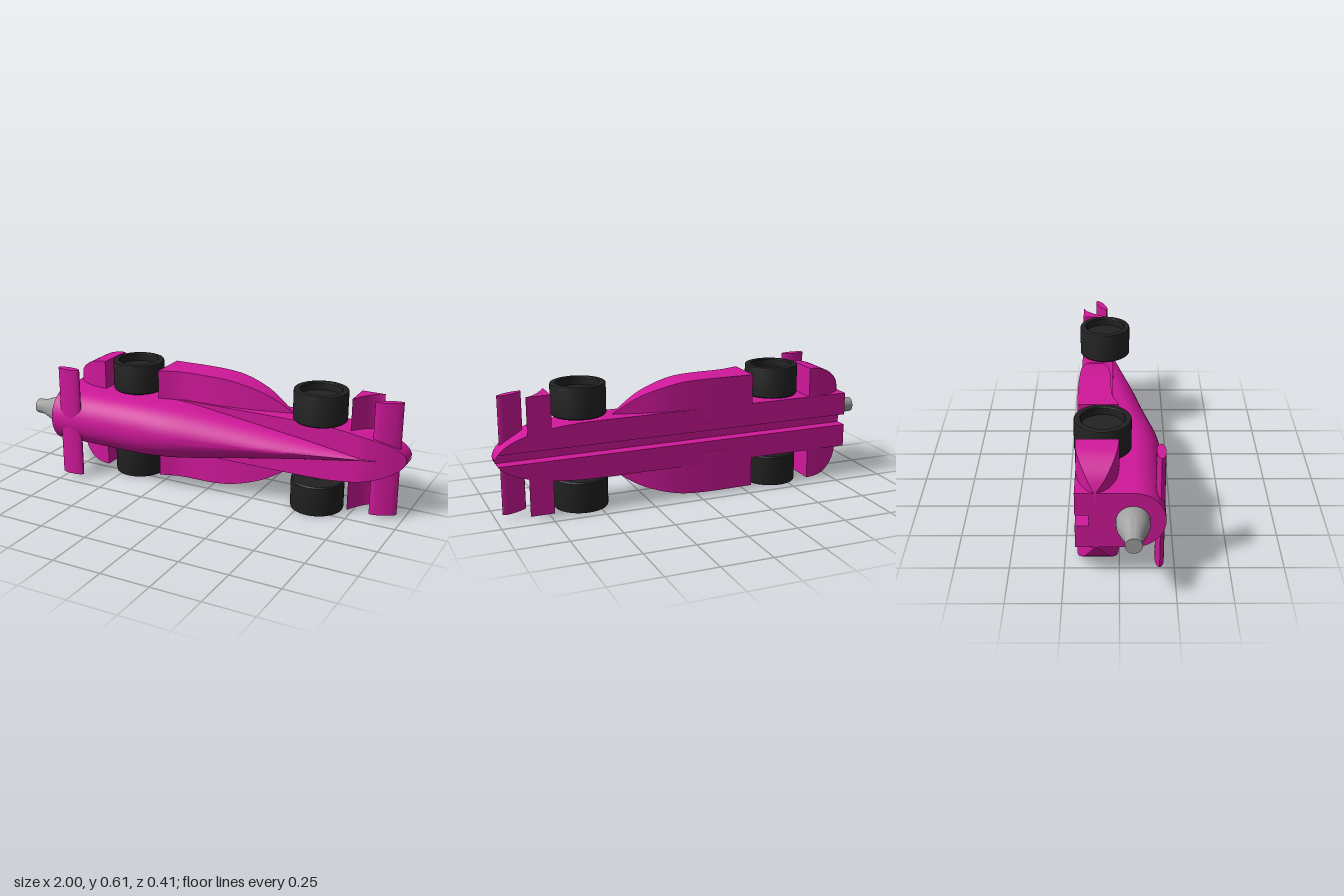
import * as THREE from 'three';
import { toCreasedNormals } from 'three/addons/utils/BufferGeometryUtils.js';

const PINK = new THREE.MeshStandardMaterial({ color: 0xd0189a });
const BLACK = new THREE.MeshStandardMaterial({ color: 0x222222 });
const GREY = new THREE.MeshStandardMaterial({ color: 0xa0a0a0 });
const V = (x, y, z) => new THREE.Vector3(x, y, z);

// Smooth monotone-ish interpolation through [x, value] pairs
function curve(points, x) {
  if (x <= points[0][0]) return points[0][1];
  const n = points.length - 1;
  if (x >= points[n][0]) return points[n][1];
  const slope = (i) => {
    const a = points[Math.max(0, i - 1)], b = points[Math.min(n, i + 1)];
    return (b[1] - a[1]) / (b[0] - a[0]);
  };
  let i = 0;
  while (x > points[i + 1][0]) i++;
  const [x0, v0] = points[i], [x1, v1] = points[i + 1];
  const d = x1 - x0, t = (x - x0) / d;
  return THREE.MathUtils.lerp(v0, v1, t * t * (3 - 2 * t))
    + d * (slope(i) * t * (1 - t) ** 2 - slope(i + 1) * t * t * (1 - t));
}

// Closed solid through rings of equal length; flatCap gives the 2D axes of the caps
function loft(rings, flatCap, crease = 0.5) {
  const m = rings[0].length, pos = [], idx = [];
  rings.forEach((r) => r.forEach((p) => pos.push(p.x, p.y, p.z)));
  for (let i = 0; i < rings.length - 1; i++) {
    for (let j = 0; j < m; j++) {
      const a = i * m + j, b = i * m + (j + 1) % m;
      idx.push(a, b, a + m, b, b + m, a + m);
    }
  }
  // the caps take their winding from the ring direction
  const flat = rings[0].map((p) => new THREE.Vector2(p[flatCap[0]], p[flatCap[1]]));
  const flip = THREE.ShapeUtils.isClockWise(flat);
  const last = (rings.length - 1) * m;
  // reverse the ring for a consistent triangulation when it is clockwise
  const map = flat.map((_, k) => (flip ? m - 1 - k : k));
  for (const t of THREE.ShapeUtils.triangulateShape(map.map((k) => flat[k]), [])) {
    const [a, b, c] = flip ? [map[t[2]], map[t[1]], map[t[0]]] : t.map((k) => map[k]);
    idx.push(c, b, a, last + a, last + b, last + c);
  }
  // turn the solid outside out if its volume is negative
  let volume = 0;
  const at = (k) => V(pos[3 * k], pos[3 * k + 1], pos[3 * k + 2]);
  for (let i = 0; i < idx.length; i += 3) volume += at(idx[i]).dot(at(idx[i + 1]).cross(at(idx[i + 2])));
  if (volume < 0) idx.reverse();
  const g = new THREE.BufferGeometry();
  g.setAttribute('position', new THREE.Float32BufferAttribute(pos, 3));
  g.setIndex(idx);
  return toCreasedNormals(g, crease);
}

const steps = (a, b, n) => Array.from({ length: n + 1 }, (_, i) => a + (b - a) * i / n);

export function createModel() {
  const model = new THREE.Group();
  const car = new THREE.Group();
  car.name = 'car';
  car.position.y = 0.306;
  model.add(car);
  const add = (name, geometry, material) => {
    const mesh = new THREE.Mesh(geometry, material);
    mesh.name = name;
    car.add(mesh);
    return mesh;
  };

  // Chassis: low slab with an elliptical nose and a groove along the underside
  const deck = [[0.8, -0.03], [0.86, -0.047], [0.93, -0.075], [1, -0.11]];
  const noseStart = 0.5;
  const chassisX = [-0.815, ...steps(0, Math.PI / 2, 24).map((a) => noseStart + (1 - noseStart) * Math.sin(a))];
  add('chassis', loft(chassisX.map((x) => {
    const u = Math.max(0, (x - noseStart) / (1 - noseStart));
    const w = Math.max(0.004, 0.141 * Math.sqrt(Math.max(0, 1 - u ** 2.2)));
    const g = Math.min(0.0275, w * 0.98), t = curve(deck, x);
    return [V(x, g, -0.195), V(x, w, -0.195), V(x, w, t), V(x, -w, t), V(x, -w, -0.195),
      V(x, -g, -0.195), V(x, -g, -0.135), V(x, g, -0.135)];
  }), ['y', 'z']), PINK);

  // Upper body: round at the back, tapering to a ridged point at the nose
  const top = [[-0.3, 0.205], [-0.15, 0.19], [0.03, 0.152], [0.2, 0.115], [0.4, 0.073], [0.69, 0], [0.87, -0.045]];
  const width = [[-0.3, 0.141], [-0.12, 0.132], [0.1, 0.105], [0.87, 0.002]];
  const shoulder = [[-0.3, 0.065], [0, 0.03], [0.4, -0.02], [0.87, -0.055]];
  const power = [[-0.3, 2], [0.1, 1.7], [0.5, 1.45], [0.87, 1.3]];
  add('upperBody', loft([-0.815, ...steps(-0.3, 0.87, 36)].map((x) => {
    const w = curve(width, x), s = curve(shoulder, x), h = curve(top, x) - s, e = 2 / curve(power, x);
    const arch = steps(0, Math.PI, 32).map((a) => V(x,
      w * Math.sign(Math.cos(a)) * Math.abs(Math.cos(a)) ** e,
      s + h * Math.abs(Math.sin(a)) ** e));
    return [V(x, w, -0.1), ...arch, V(x, -w, -0.1)];
  }), ['y', 'z'], 0.4), PINK);

  // Wings: elliptical section across the full span
  const wing = (name, cx, cz, rx, rz, tilt) => add(name, loft([-0.287, 0.287].map((y) =>
    steps(0, 2 * Math.PI, 32).slice(0, -1).map((a) => {
      const u = rx * Math.cos(a), v = rz * Math.sin(a);
      return V(cx + u * Math.cos(tilt) - v * Math.sin(tilt), y, cz + u * Math.sin(tilt) + v * Math.cos(tilt));
    })), ['x', 'z']), PINK);
  wing('rearWing', -0.706, 0.182, 0.062, 0.021, 0);
  wing('frontWing', 0.905, -0.096, 0.067, 0.018, -0.42);

  // Pods: plan outline and side profile combined, one per side
  const pod = (name, xs, plan, upper, lower, s) => add(name, loft(xs.map((x) => {
    const w = curve(plan, x), t = curve(upper, x), b = curve(lower, x);
    return [V(x, s * 0.08, b), V(x, s * w, b), V(x, s * w, t), V(x, s * 0.08, t)];
  }), ['y', 'z']), PINK);

  for (const s of [1, -1]) {
    const side = s > 0 ? 'Upper' : 'Lower';
    pod('sidePod' + side, steps(-0.285, 0.42, 28),
      [[-0.285, 0.287], [0, 0.287], [0.12, 0.276], [0.26, 0.236], [0.35, 0.19], [0.42, 0.138]],
      [[-0.285, 0], [-0.18, -0.033], [0.03, -0.041], [0.2, -0.064], [0.42, -0.114]],
      [[-0.285, -0.195], [-0.03, -0.195], [0.19, -0.177], [0.42, -0.118]], s);
    pod('rearPod' + side, steps(0, 1, 20).map((t) => -0.815 + 0.21 * t * t),
      [[-0.815, 0.145], [-0.79, 0.195], [-0.76, 0.232], [-0.7, 0.272], [-0.64, 0.287], [-0.605, 0.289]],
      [[-0.815, -0.1], [-0.79, -0.062], [-0.74, -0.028], [-0.68, -0.008], [-0.605, 0]],
      [[-0.815, -0.11], [-0.79, -0.14], [-0.74, -0.17], [-0.68, -0.19], [-0.605, -0.195]], s);

    // Front deflector with a hollow curved front face
    const hollow = steps(0, 1, 10).map((t) => [0.735 + 0.115 * t, -0.192 + 0.134 * (1 - t) ** 1.7]);
    add('frontDeflector' + side, loft([0.06, 0.287].map((y) =>
      [[0.735, -0.195], ...hollow, [0.85, -0.195]].map(([x, z]) => V(x, s * y, z))), ['x', 'z']), PINK);

    // Wheels: rounded tyre with a recessed outer face
    const profile = [[0, 0], [0.126, 0], [0.132, 0.006], [0.132, 0.146], [0.13, 0.152], [0.124, 0.154],
      [0.104, 0.154], [0.1, 0.15], [0.1, 0.115], [0, 0.115]].map(([r, h]) => new THREE.Vector2(r, h));
    for (const [end, x] of [['rear', -0.445], ['front', 0.572]]) {
      const wheel = add(end + 'Wheel' + side, toCreasedNormals(new THREE.LatheGeometry(profile, 48), 0.5), BLACK);
      wheel.position.set(x, s * 0.152, -0.075);
      if (s < 0) wheel.rotation.x = Math.PI;
    }
  }

  // Axles
  for (const [end, x] of [['rear', -0.445], ['front', 0.572]]) {
    add(end + 'Axle', new THREE.CylinderGeometry(0.028, 0.028, 0.32, 24), BLACK).position.set(x, 0, -0.075);
  }

  // Tail nozzle: narrow neck flaring into the body
  const neck = [[0, 0.19], [0.038, 0.19], [0.04, 0.145], [0.046, 0.13], [0.063, 0.085], [0.072, 0.06], [0.075, 0.04], [0.075, -0.02], [0, -0.02]]
    .map(([r, h]) => new THREE.Vector2(r, h)).reverse();
  const nozzle = add('tailNozzle', toCreasedNormals(new THREE.LatheGeometry(neck, 40), 0.6), GREY);
  nozzle.rotation.z = Math.PI / 2;
  nozzle.position.set(-0.81, 0, 0.06);
  return model;
}
